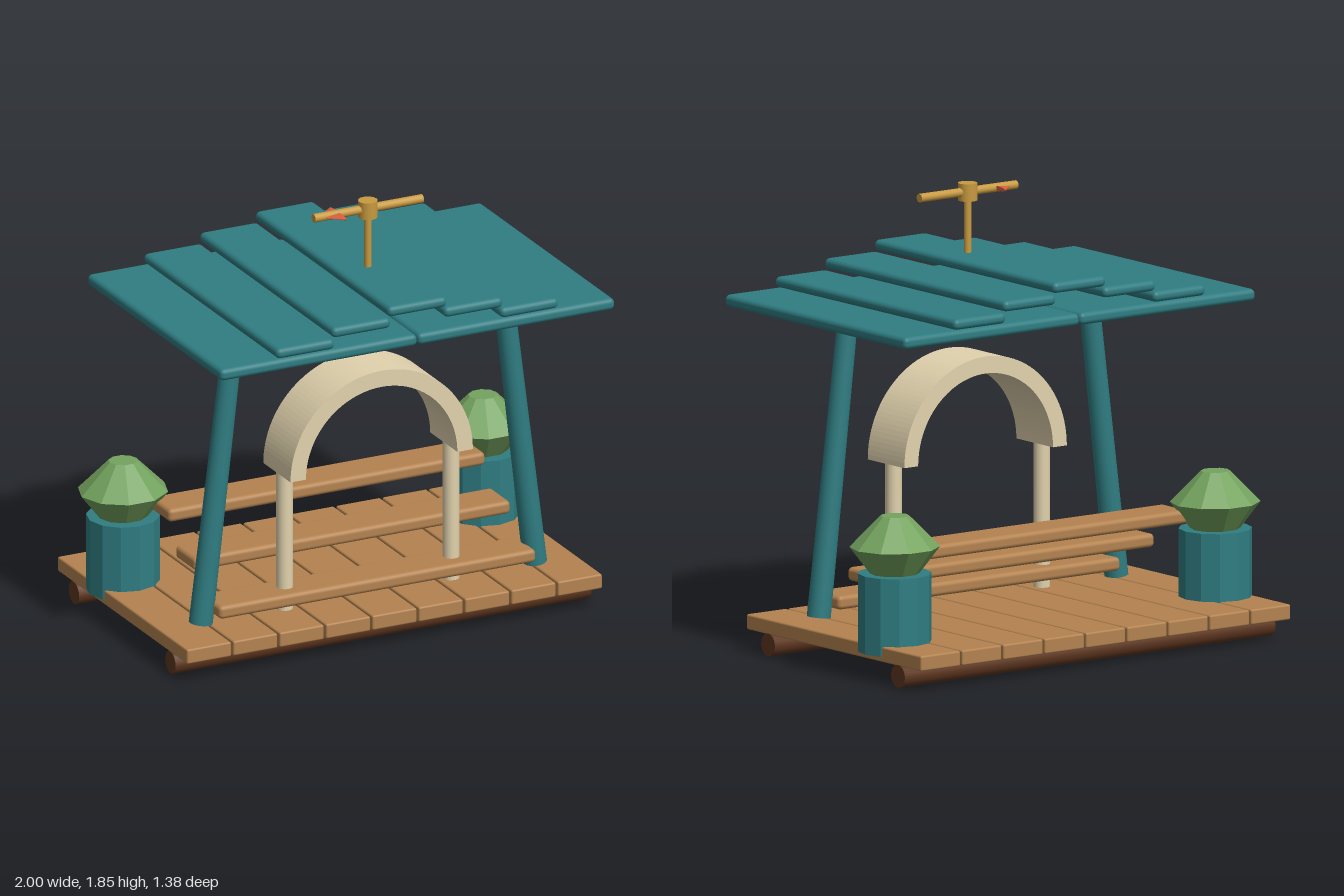
import * as THREE from 'three';
import { RoundedBoxGeometry } from 'three/addons/geometries/RoundedBoxGeometry.js';

const paint = (color, flatShading = false) => new THREE.MeshStandardMaterial({ color, flatShading });
const teal = paint(0x2f7d82), wood = paint(0xb48350), bark = paint(0x5e3620);
const cream = paint(0xe2d3ae), gold = paint(0xc89a40), red = paint(0xd9603c);
const pot = paint(0x2f7d82, true), leaf = paint(0x74a35f, true);

export function createModel() {
  const model = new THREE.Group();

  const add = (name, geometry, material, x = 0, y = 0, z = 0) => {
    const mesh = new THREE.Mesh(geometry, material);
    mesh.name = name;
    mesh.position.set(x, y, z);
    model.add(mesh);
    return mesh;
  };
  const board = (name, material, [w, h, d], r, x, y, z) =>
    add(name, new RoundedBoxGeometry(w, h, d, 3, r), material, x, y, z);
  // round bar running between two points
  const bar = (name, material, from, to, r0, r1 = r0, sides = 16) => {
    const a = new THREE.Vector3(...from), b = new THREE.Vector3(...to);
    const dir = b.clone().sub(a);
    const mesh = add(name, new THREE.CylinderGeometry(r1, r0, dir.length(), sides), material);
    mesh.position.copy(a).add(b).multiplyScalar(0.5);
    mesh.quaternion.setFromUnitVectors(new THREE.Vector3(0, 1, 0), dir.normalize());
    return mesh;
  };

  const midZ = 0.235;

  // deck of cross planks on two logs
  for (let i = -4; i <= 4; i++)
    board('deckPlank', wood, [0.2, 0.063, 1.165], 0.008, i * 0.2095, 0.12, -0.105);
  for (const z of [0.33, -0.535])
    bar('baseLog', bark, [-0.94, 0.047, z], [0.94, 0.047, z], 0.047);

  // stepped benches
  for (let i = 0; i < 3; i++)
    board('benchBoard', wood, [1.43, 0.056, 0.178], 0.018, 0, 0.217 + i * 0.131, 0.24 - i * 0.2275);

  // cream arch
  const ring = new THREE.Shape();
  ring.absarc(0, 0, 0.412, 0, Math.PI, false);
  ring.absarc(0, 0, 0.342, Math.PI, 0, true);
  ring.closePath();
  add('arch', new THREE.ExtrudeGeometry(ring, { depth: 0.244, bevelEnabled: false, curveSegments: 32 }),
    cream, 0, 0.744, 0.115);

  // foliage profile, bottom to top
  const bush = [[0, 0.4], [0.08, 0.4], [0.187, 0.538], [0.06, 0.665], [0, 0.665]]
    .map(([r, y]) => new THREE.Vector2(r, y));

  for (const s of [-1, 1]) {
    bar('archPost', cream, [s * 0.376, 0.15, midZ], [s * 0.376, 0.75, midZ], 0.034);
    bar('roofPost', teal, [s * 0.755, 0.155, midZ], [s * 0.608, 1.365, midZ], 0.049, 0.042);
    add('planter', new THREE.CylinderGeometry(0.15, 0.15, 0.32, 12), pot, s * 0.813, 0.27, -0.347);
    const shrub = add('shrub', new THREE.LatheGeometry(bush, 10), leaf, s * 0.813, 0, -0.347);
    shrub.rotation.y = Math.PI / 2;
    shrub.scale.x = 0.95;
  }

  // roof beam and overlapping roof boards
  bar('roofBeam', bark, [-0.65, 1.349, midZ], [0.65, 1.349, midZ], 0.028);
  const roof = (x, y, w, h) => board('roofBoard', teal, [w, h, 1.208], 0.02, x, y, 0.085);
  for (const s of [-1, 1]) {
    roof(s * 0.446, 1.402, 0.89, 0.05);
    roof(s * 0.506, 1.45, 0.262, 0.044);
    roof(s * 0.253, 1.497, 0.264, 0.044);
  }
  roof(0, 1.544, 0.266, 0.044);

  // weather vane
  bar('vanePole', gold, [0, 1.55, midZ], [0, 1.8, midZ], 0.015);
  bar('vaneHub', gold, [0, 1.78, midZ], [0, 1.852, midZ], 0.04);
  bar('vaneBar', gold, [-0.245, 1.816, midZ], [0.245, 1.816, midZ], 0.018);
  const arrow = add('vaneArrow', new THREE.ConeGeometry(0.078, 0.088, 16), red, -0.178, 1.816, midZ);
  arrow.rotation.z = Math.PI / 2;
  arrow.scale.x = 0.13;

  return model;
}
